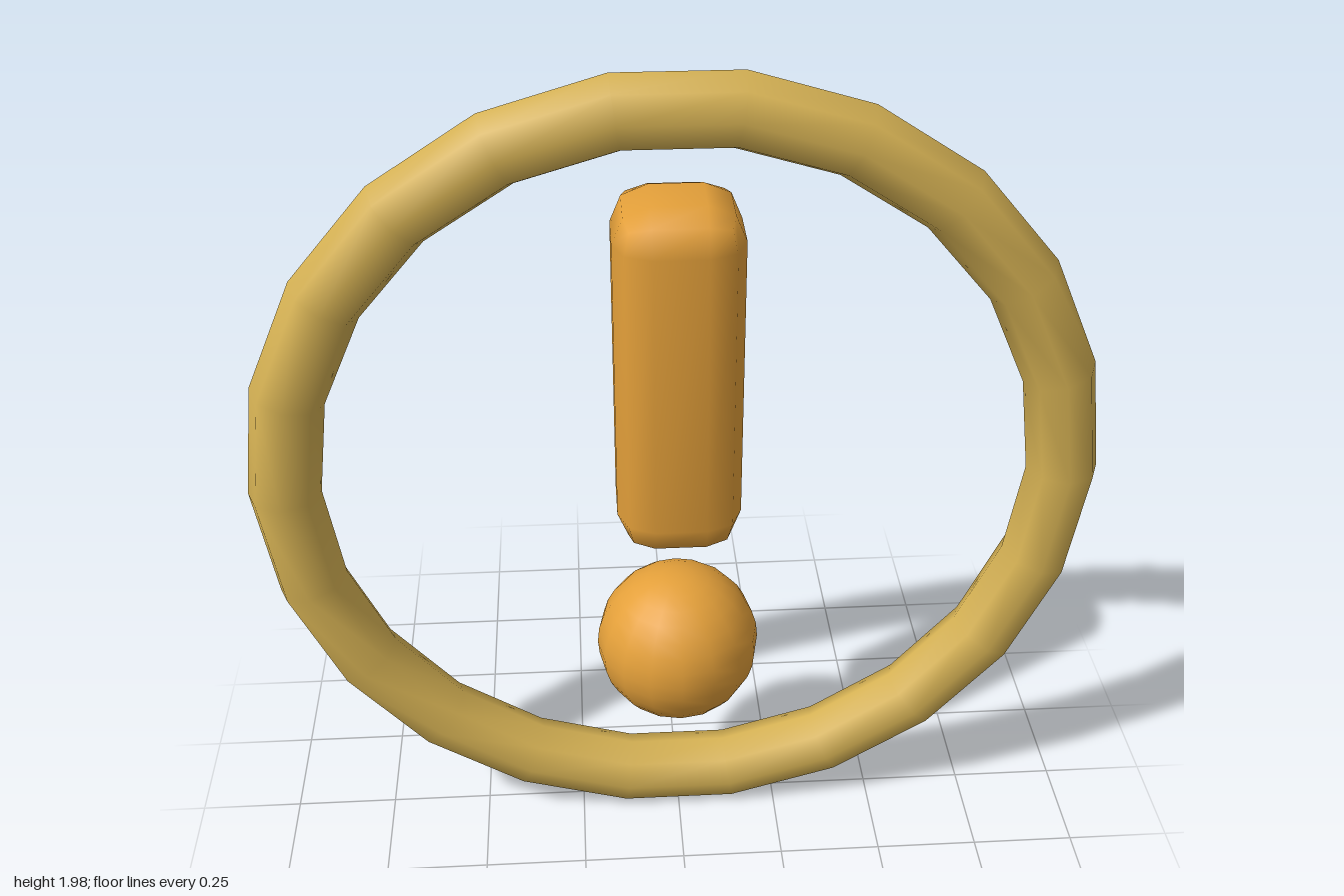
import * as THREE from 'three';
import { mergeVertices } from 'three/addons/utils/BufferGeometryUtils.js';
import { RoundedBoxGeometry } from 'three/addons/geometries/RoundedBoxGeometry.js';

const gold = new THREE.MeshStandardMaterial({ name: 'gold', color: 0xd6b254 });
const orange = new THREE.MeshStandardMaterial({ name: 'orange', color: 0xe4a03a });

// Weld shared corners so the shading runs smoothly over the bevels
function softened(geometry) {
  geometry.deleteAttribute('normal');
  geometry.deleteAttribute('uv');
  const welded = mergeVertices(geometry);
  welded.clearGroups();
  welded.computeVertexNormals();
  return welded;
}

export function createModel() {
  const model = new THREE.Group();
  model.name = 'alertSign';

  function add(name, geometry, material, y) {
    const mesh = new THREE.Mesh(geometry, material);
    mesh.name = name;
    mesh.position.y = y;
    model.add(mesh);
  }

  // Upright ring with an eight-sided section
  add('ring', new THREE.TorusGeometry(0.915, 0.085, 8, 22), gold, 0.99);

  // Square bar with bevelled edges
  add('bar', softened(new RoundedBoxGeometry(0.29, 0.86, 0.29, 1, 0.085)), orange, 1.28);

  // Ball below the bar
  add('dot', new THREE.SphereGeometry(0.2, 16, 16), orange, 0.51);

  return model;
}
